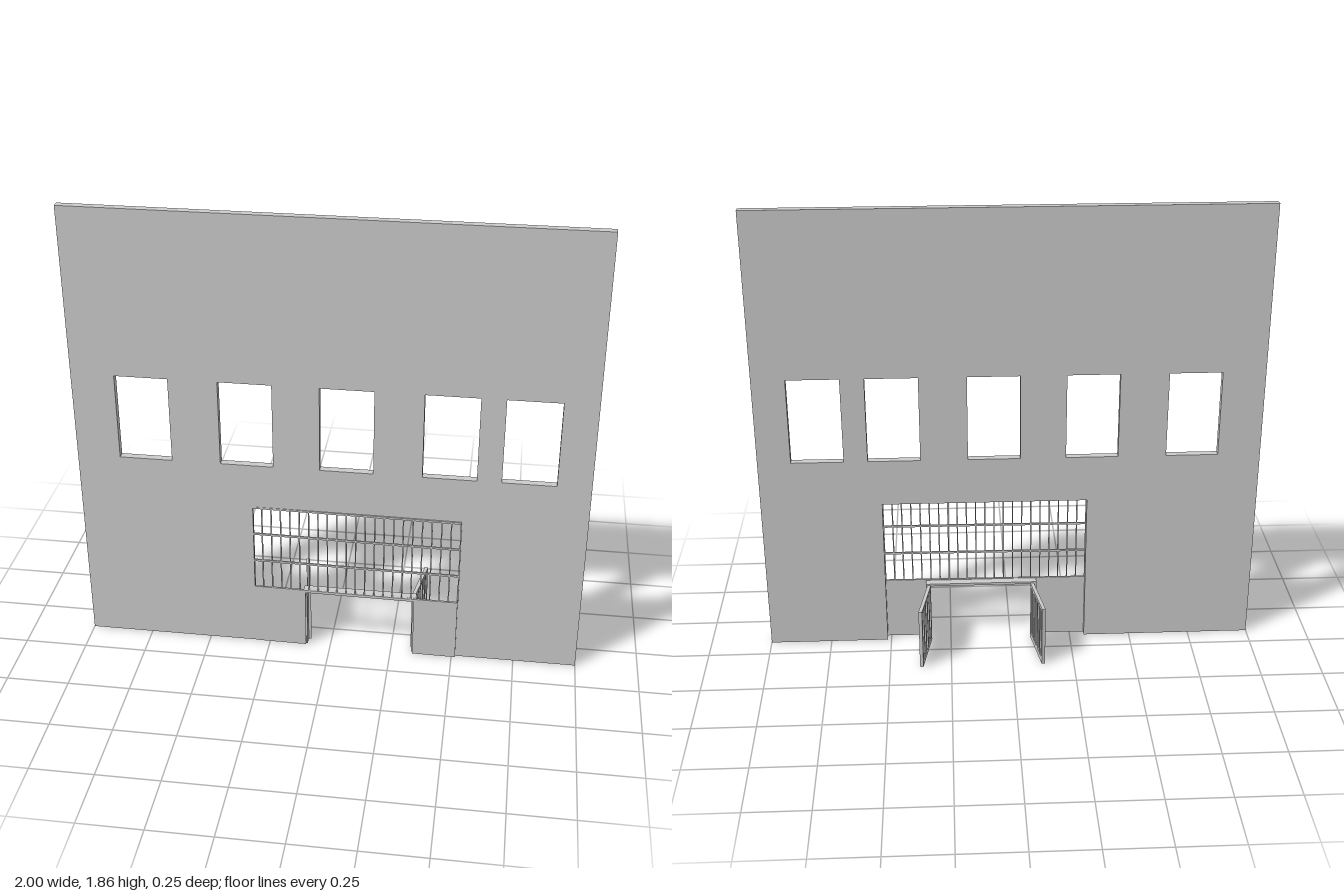
import * as THREE from 'three';

const mat = new THREE.MeshStandardMaterial({ color: 0xcccccc });

// Box given by its limits on each axis
function box(parent, name, x0, x1, y0, y1, z0, z1) {
  const m = new THREE.Mesh(new THREE.BoxGeometry(x1 - x0, y1 - y0, z1 - z0), mat);
  m.position.set((x0 + x1) / 2, (y0 + y1) / 2, (z0 + z1) / 2);
  m.name = name;
  parent.add(m);
  return m;
}

const L = -0.31, R = 0.515;            // entrance opening
const TOP = 0.64, HEAD = 0.265;        // opening top, door head
const DL = -0.1, DR = 0.34;            // doorway
const Z0 = 0.085, Z1 = 0.115;          // wall back and front

function makeWall() {
  const s = new THREE.Shape();
  [[-1, 0], [L, 0], [L, TOP], [R, TOP], [R, 0], [1, 0], [1, 1.86], [-1, 1.86]]
    .forEach(([x, y], i) => (i ? s.lineTo(x, y) : s.moveTo(x, y)));
  s.closePath();
  // Five window holes
  for (const x of [-0.83, -0.43, -0.04, 0.357, 0.66]) {
    const w = 0.208, h = new THREE.Path();
    h.moveTo(x, 0.833);
    h.lineTo(x, 1.187);
    h.lineTo(x + w, 1.187);
    h.lineTo(x + w, 0.833);
    h.closePath();
    s.holes.push(h);
  }
  const g = new THREE.ExtrudeGeometry(s, { depth: Z1 - Z0, bevelEnabled: false });
  g.translate(0, 0, Z0);
  const m = new THREE.Mesh(g, mat);
  m.name = 'wall';
  return m;
}

// Screen of thin bars and solid side panels, turned very slightly
function makeScreen() {
  const g = new THREE.Group();
  g.name = 'entranceScreen';
  const cx = (L + R) / 2, hw = (R - L) / 2;
  g.position.set(cx, 0, 0.117);
  g.rotation.y = -0.01;
  const n = 22;
  for (let i = 0; i <= n; i++) {
    const x = -hw + (2 * hw * i) / n;
    box(g, 'verticalBar', x - 0.0025, x + 0.0025, HEAD, TOP, -0.0025, 0.0025);
  }
  for (const y of [0.395, 0.52, 0.642])
    box(g, 'horizontalBar', -hw, hw, y - 0.004, y + 0.004, -0.003, 0.003);
  box(g, 'sidePanelRight', -hw, DL - cx, 0, HEAD, -0.004, 0.004);
  box(g, 'sidePanelLeft', DR - cx, hw, 0, HEAD, -0.004, 0.004);
  box(g, 'headRail', -hw, hw, HEAD - 0.008, HEAD + 0.004, -0.004, 0.004);
  return g;
}

// Open door leaf: solid core with raised rails and slats on both faces
function makeLeaf(x, angle, name) {
  const g = new THREE.Group();
  g.name = name;
  const len = 0.209, h = 0.26, t = 0.007;
  g.position.set(x, 0, 0.081);
  g.rotation.y = angle;
  box(g, 'leafCore', -0.002, 0.002, 0.002, h - 0.002, -len + 0.002, -0.002);
  box(g, 'bottomRail', -t, t, 0, 0.025, -len, 0);
  box(g, 'topRail', -t, t, h - 0.015, h, -len, 0);
  const n = 5, w = 0.012;
  for (let i = 0; i <= n; i++) {
    const z = -w / 2 - ((len - w) * i) / n;
    box(g, 'slat', -t, t, 0.025, h - 0.015, z - w / 2, z + w / 2);
  }
  return g;
}

export function createModel() {
  const model = new THREE.Group();
  model.name = 'facade';
  model.add(makeWall(), makeScreen());

  // Door frame
  const frame = new THREE.Group();
  frame.name = 'doorFrame';
  box(frame, 'jambRight', DL - 0.008, DL + 0.006, 0, HEAD - 0.008, 0.08, 0.112);
  box(frame, 'jambLeft', DR - 0.006, DR + 0.008, 0, HEAD - 0.008, 0.08, 0.112);
  box(frame, 'lintel', DL - 0.008, DR + 0.008, HEAD - 0.008, HEAD + 0.002, 0.08, 0.112);
  model.add(frame);

  model.add(makeLeaf(-0.09, 0.17, 'doorLeafRight'), makeLeaf(0.336, -0.17, 'doorLeafLeft'));
  return model;
}
